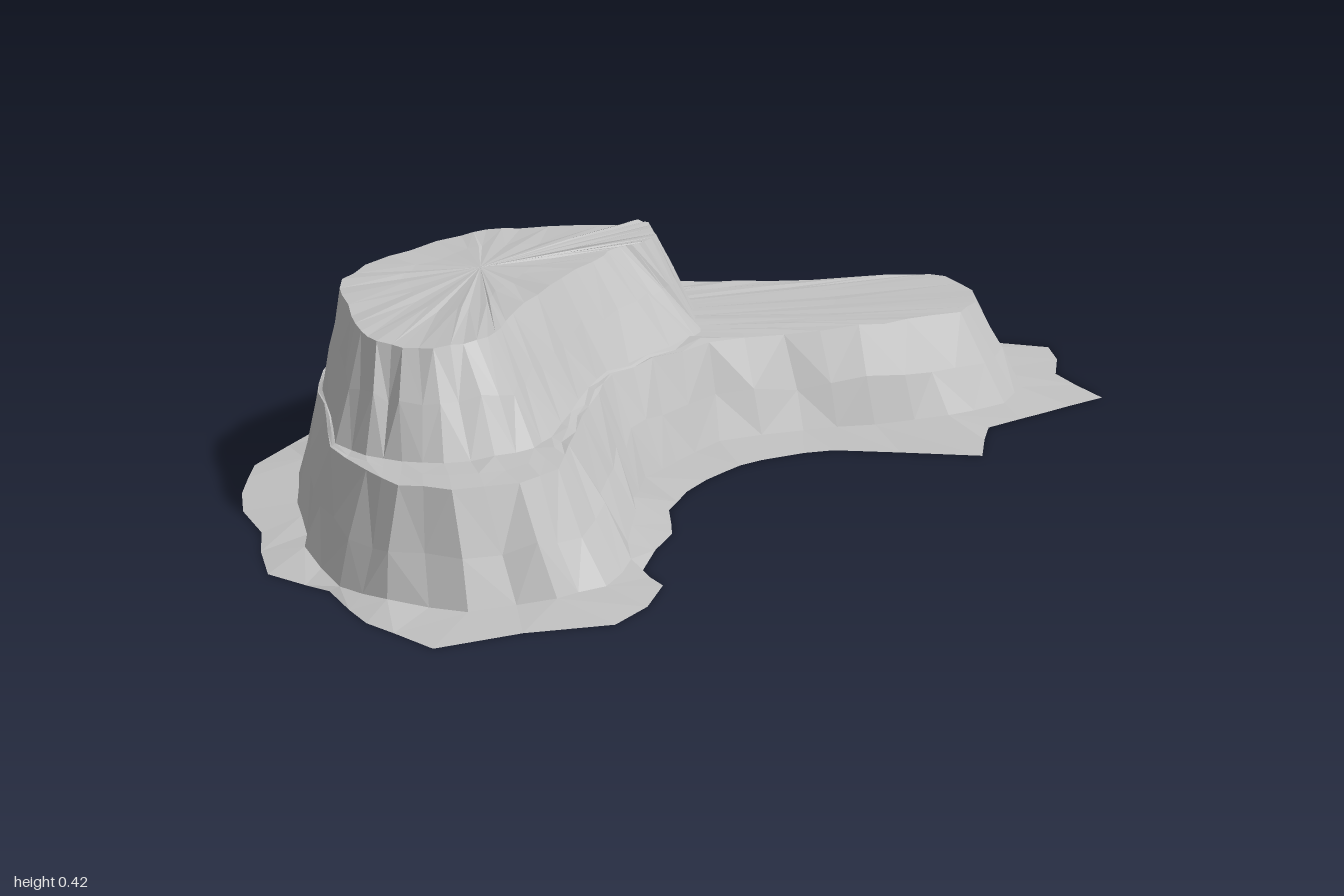
import * as THREE from 'three';

// Contour loops (x, z pairs), clockwise seen from above, matched station by station
const SKIRT = [-.38,-.8, -.28,-.85, -.06,-.82, .03,-.86, .27,-.81, .5,-.9, .78,-.8, .98,-.71, .94,-.5, 1,-.31, .83,-.22,
  .68,-.14, .62,.04, .3,-.04, .13,0, .04,.06, -.06,.17, -.11,.27, -.12,.4, -.2,.58, -.17,.66, -.28,.83, -.62,.89,
  -.74,.76, -.81,.6, -.93,.5, -.95,.28, -1,.05, -.98,-.12, -.82,-.38, -.78,-.48, -.63,-.66, -.5,-.74];
const BASE = [-.36,-.77, -.25,-.81, -.05,-.8, .1,-.8, .27,-.78, .5,-.78, .68,-.78, .8,-.7, .84,-.55, .82,-.38, .75,-.27,
  .6,-.2, .42,-.17, .25,-.15, .05,-.1, -.06,0, -.14,.1, -.18,.22, -.2,.38, -.22,.55, -.28,.66, -.38,.72, -.55,.75,
  -.7,.69, -.79,.6, -.86,.4, -.87,.22, -.88,.05, -.87,-.12, -.82,-.27, -.74,-.46, -.6,-.62, -.48,-.71];
const LOW_RIM = [-.35,-.67, -.22,-.72, -.03,-.71, .12,-.69, .25,-.68, .48,-.68, .63,-.69, .69,-.65, .73,-.53, .71,-.42, .66,-.36,
  .52,-.31, .4,-.28, .22,-.25, .04,-.2, -.1,-.1, -.2,0, -.24,.12, -.29,.27, -.33,.43, -.36,.55, -.44,.62, -.57,.65,
  -.67,.61, -.73,.52, -.8,.38, -.81,.2, -.83,.03, -.82,-.11, -.78,-.26, -.68,-.4, -.54,-.55, -.44,-.62];
const HIGH_BASE = [-.35,-.61, -.2,-.62, -.07,-.61, -.03,-.62, 0,-.59, .03,-.56, .04,-.53, .04,-.5, .04,-.45, .03,-.4, .03,-.36,
  .03,-.33, .03,-.3, .03,-.27, 0,-.23, -.11,-.11, -.21,-.01, -.26,.1, -.31,.25, -.36,.38, -.4,.45, -.48,.49, -.58,.51,
  -.66,.49, -.73,.45, -.79,.37, -.8,.2, -.82,.03, -.81,-.11, -.77,-.26, -.67,-.39, -.53,-.54, -.44,-.6];
const HIGH_RIM = [-.36,-.51, -.22,-.51, -.12,-.5, -.1,-.53, -.09,-.53, -.07,-.53, -.06,-.51, -.06,-.48, -.06,-.43, -.06,-.39, -.07,-.37,
  -.09,-.34, -.12,-.32, -.15,-.3, -.18,-.27, -.22,-.2, -.3,-.08, -.36,.04, -.42,.17, -.45,.27, -.48,.33, -.53,.37, -.59,.39,
  -.65,.37, -.7,.33, -.73,.26, -.75,.14, -.77,0, -.77,-.12, -.72,-.23, -.62,-.35, -.5,-.46, -.44,-.5];

// Small seeded noise in -1..1
let seed = 7;
const noise = () => {
  seed = (seed * 16807) % 2147483647;
  return (seed / 2147483647) * 2 - 1;
};

// Loop with a roughened midpoint added on every edge
function ring(pairs, y, rough, roughY = 0) {
  const out = [], n = pairs.length / 2;
  for (let i = 0; i < n; i++) {
    const j = (i + 1) % n;
    const [ax, az, bx, bz] = [pairs[2 * i], pairs[2 * i + 1], pairs[2 * j], pairs[2 * j + 1]];
    out.push(new THREE.Vector3(ax, y + roughY * noise(), az));
    out.push(new THREE.Vector3((ax + bx) / 2 + rough * noise(), y + roughY * noise(), (az + bz) / 2 + rough * noise()));
  }
  return out;
}

// Roughened loop between two others
const between = (a, b, t, rough, roughY) => a.map((p, i) => {
  const q = p.clone().lerp(b[i], t);
  return q.add(new THREE.Vector3(rough * noise(), roughY * noise(), rough * noise()));
});

// Faceted surface through a list of loops, from the outside in
function loft(name, rings, material) {
  const pos = [], n = rings[0].length;
  const tri = (...pts) => pts.forEach(p => pos.push(p.x, p.y, p.z));
  for (let r = 0; r + 1 < rings.length; r++) {
    for (let i = 0; i < n; i++) {
      const j = (i + 1) % n, a = rings[r], b = rings[r + 1];
      if (i % 2) { tri(a[i], b[i], b[j]); tri(a[i], b[j], a[j]); }
      else { tri(a[i], b[i], a[j]); tri(a[j], b[i], b[j]); }
    }
  }
  const geometry = new THREE.BufferGeometry();
  geometry.setAttribute('position', new THREE.Float32BufferAttribute(pos, 3));
  geometry.computeVertexNormals();
  const mesh = new THREE.Mesh(geometry, material);
  mesh.name = name;
  return mesh;
}

export function createModel() {
  seed = 7;
  const rock = new THREE.MeshStandardMaterial({ color: 0xc0c0c0, side: THREE.DoubleSide, flatShading: true });
  rock.name = 'grey rock';

  const skirt = ring(SKIRT, 0.002, 0.018);
  const base = ring(BASE, 0.012, 0.008, 0.006);
  const lowRim = ring(LOW_RIM, 0.215, 0.006, 0.004);
  const highBase = ring(HIGH_BASE, 0.22, 0.004, 0.004);
  const highRim = ring(HIGH_RIM, 0.417, 0.006, 0.003);
  const centre = highRim.map(() => new THREE.Vector3(-0.47, 0.418, -0.18));

  const group = new THREE.Group();
  group.name = 'rockPlateau';
  group.add(
    // flat ragged apron on the ground
    loft('groundSkirt', [skirt, base], rock),
    // lower terrace with its sloping sides
    loft('lowerCliff', [base, between(base, lowRim, 0.45, 0.008, 0.012), lowRim], rock),
    loft('lowerTerrace', [lowRim, between(lowRim, highBase, 0.5, 0.003, 0.004), highBase], rock),
    // upper terrace
    loft('upperCliff', [highBase, between(highBase, highRim, 0.5, 0.007, 0.012), highRim], rock),
    loft('upperTerrace', [highRim, between(highRim, centre, 0.45, 0.006, 0.004), centre], rock)
  );
  return group;
}
